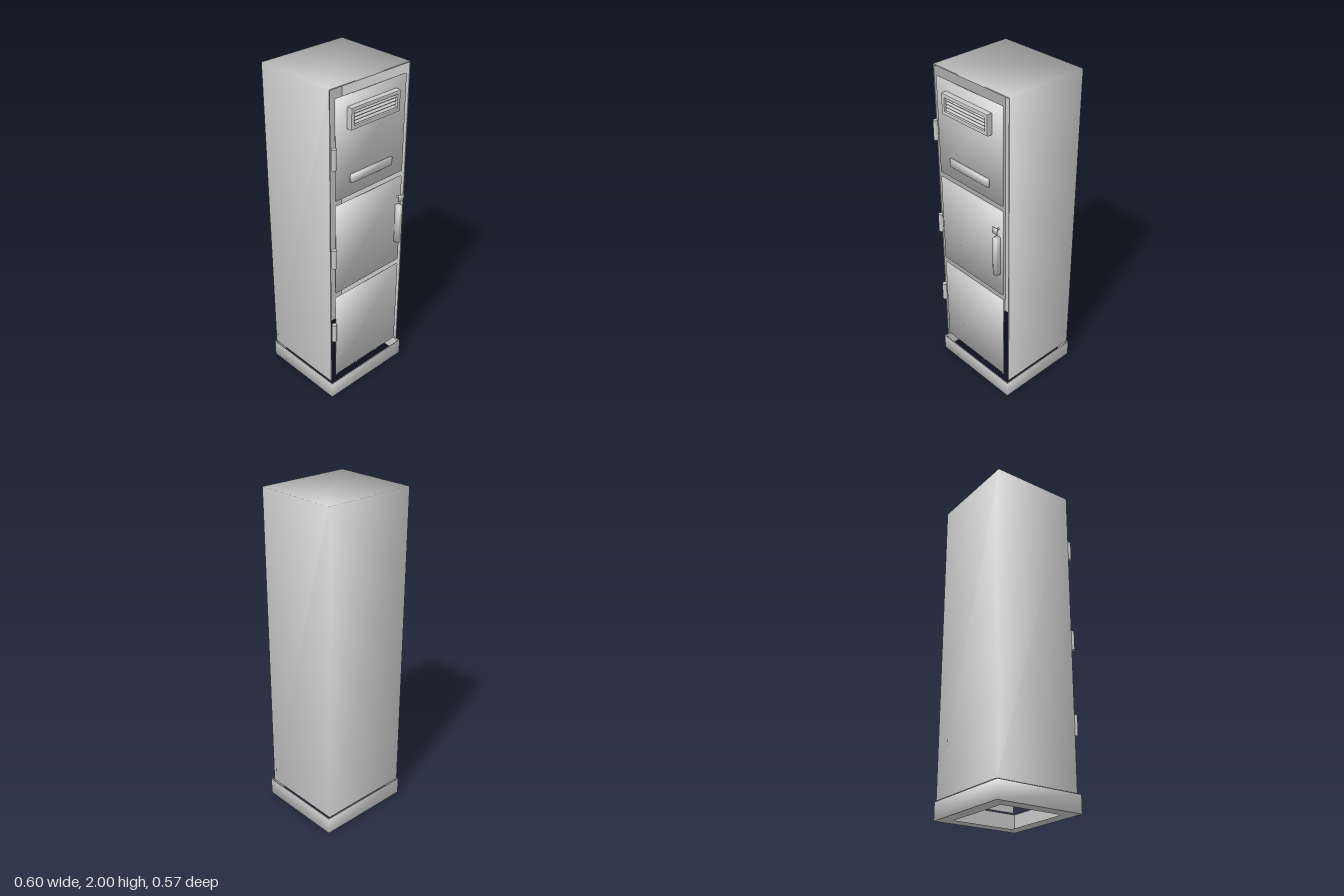
import * as THREE from 'three';

const steel = new THREE.MeshStandardMaterial({ color: 0xc8c8c8 });
steel.name = 'grey steel';

// Box face order: +x, -x, +y, -y, +z, -z
const ALL = [0, 1, 2, 3, 4, 5];

// Box given by its limits, keeping only some faces
function boxGeo(x0, x1, y0, y1, z0, z1, faces = ALL) {
  const g = new THREE.BoxGeometry(x1 - x0, y1 - y0, z1 - z0);
  const idx = Array.from(g.index.array);
  g.setIndex(faces.flatMap((f) => idx.slice(f * 6, f * 6 + 6)));
  g.clearGroups();
  g.translate((x0 + x1) / 2, (y0 + y1) / 2, (z0 + z1) / 2);
  return g;
}

// Smooth shading across the box corners; ny gives the upward tilt at bottom and top
function soften(g, nyBottom = -1, nyTop = 1) {
  g.computeBoundingBox();
  const c = g.boundingBox.getCenter(new THREE.Vector3());
  const p = g.attributes.position, n = g.attributes.normal, v = new THREE.Vector3();
  for (let i = 0; i < p.count; i++) {
    v.set(Math.sign(p.getX(i) - c.x), p.getY(i) > c.y ? nyTop : nyBottom, Math.sign(p.getZ(i) - c.z)).normalize();
    n.setXYZ(i, v.x, v.y, v.z);
  }
  return g;
}

// Turn a surface inside out
function flip(g) {
  g.setIndex(Array.from(g.index.array).reverse());
  const n = g.attributes.normal;
  for (let i = 0; i < n.count; i++) n.setXYZ(i, -n.getX(i), -n.getY(i), -n.getZ(i));
  return g;
}

function rect(target, x0, x1, y0, y1) {
  return target.moveTo(x0, y0).lineTo(x1, y0).lineTo(x1, y1).lineTo(x0, y1).closePath();
}

// Flat rectangular ring in the xy plane
function ring(x0, x1, y0, y1, t) {
  const s = rect(new THREE.Shape(), x0, x1, y0, y1);
  s.holes.push(rect(new THREE.Path(), x0 + t, x1 - t, y0 + t, y1 - t));
  return s;
}

export function createModel() {
  const root = new THREE.Group();
  root.name = 'locker';
  const add = (name, geo, parent = root) => {
    const m = new THREE.Mesh(geo, steel);
    m.name = name;
    parent.add(m);
    return m;
  };
  const group = (name) => {
    const g = new THREE.Group();
    g.name = name;
    root.add(g);
    return g;
  };

  // Cabinet shell, open at the front and bottom
  const T = 0.006;
  const X = 0.29, Y0 = 0.11, Y1 = 2, Z0 = -0.282, Z1 = 0.24;
  const cabinet = group('cabinet');
  add('outerShell', soften(boxGeo(-X, X, Y0, Y1, Z0, Z1, [0, 1, 2, 5]), 0, 0.6), cabinet);
  add('innerShell', flip(boxGeo(-X + T, X - T, Y0, Y1 - T, Z0 + T, Z1, [0, 1, 2, 5])), cabinet);
  add('topRim', boxGeo(-X, X, Y1 - T, Y1, Z1 - T, Z1, [3, 4]), cabinet);
  for (const s of [-1, 1]) {
    const a = s < 0 ? -X : X - T;
    add('sideRim', boxGeo(a, a + T, Y0, Y1, Z0, Z1, [3, 4]), cabinet);
  }
  add('backRim', boxGeo(-X, X, Y0, Y0 + T, Z0, Z0 + T, [3]), cabinet);

  // Plinth: thin band with a flange underneath
  const base = group('plinth');
  const H = 0.105, BX = 0.3, BZ0 = -0.287, BZ1 = 0.26;
  add('outerBand', soften(boxGeo(-BX, BX, 0, H, BZ0, BZ1, [0, 1, 4, 5]), -0.6, 0.6), base);
  add('innerBand', flip(boxGeo(-BX + T, BX - T, 0, H, BZ0 + T, BZ1 - T, [0, 1, 4, 5])), base);
  const lip = add('topLip', new THREE.ShapeGeometry(ring(-BX, BX, -BZ1, -BZ0, T)), base);
  lip.rotation.x = -Math.PI / 2;
  lip.position.y = H;
  const flange = add('bottomFlange', new THREE.ShapeGeometry(ring(-BX, BX, BZ0, BZ1, 0.08)), base);
  flange.rotation.x = Math.PI / 2;

  // Three doors, each with a hinge barrel on the side
  const doors = [[0.155, 0.73, 0.495], [0.77, 1.335, 1.015], [1.37, 1.945, 1.625]];
  for (const [y0, y1, hingeY] of doors) {
    add('door', soften(boxGeo(-0.255, 0.25, y0, y1, 0.241, 0.252)));
    const hinge = add('hinge', new THREE.CylinderGeometry(0.014, 0.014, 0.12, 20));
    hinge.position.set(-0.276, hingeY, 0.256);
  }

  // Small pins along the bottom door
  for (let i = 0; i < 4; i++) {
    const pin = add('doorPin', new THREE.SphereGeometry(0.007, 10, 8));
    pin.position.set(-0.253 + i * 0.168, 0.155, 0.25);
  }

  // Vent: frame with slanted louvres
  const vent = group('vent');
  const frame = add('ventFrame', new THREE.ExtrudeGeometry(ring(-0.18, 0.175, 1.765, 1.885, 0.022),
    { depth: 0.027, bevelThickness: 0.006, bevelSize: 0.004, bevelOffset: -0.004, bevelSegments: 2 }), vent);
  frame.position.z = 0.252;
  for (let i = 0; i < 4; i++) {
    const slat = add('louvre', new THREE.BoxGeometry(0.315, 0.004, 0.026), vent);
    slat.position.set(-0.002, 1.797 + i * 0.019, 0.264);
    slat.rotation.x = 0.6;
  }

  // Label holder on the top door
  add('labelHolder', soften(boxGeo(-0.155, 0.15, 1.448, 1.495, 0.25, 0.266)));

  // Handle and lock on the middle door
  add('handle', soften(boxGeo(0.206, 0.234, 0.915, 1.165, 0.25, 0.285)));
  add('lockFace', soften(boxGeo(0.203, 0.24, 1.197, 1.235, 0.277, 0.285)));
  const stem = add('lockStem', new THREE.CylinderGeometry(0.006, 0.006, 0.03, 12));
  stem.rotation.x = Math.PI / 2;
  stem.position.set(0.221, 1.216, 0.264);

  return root;
}
